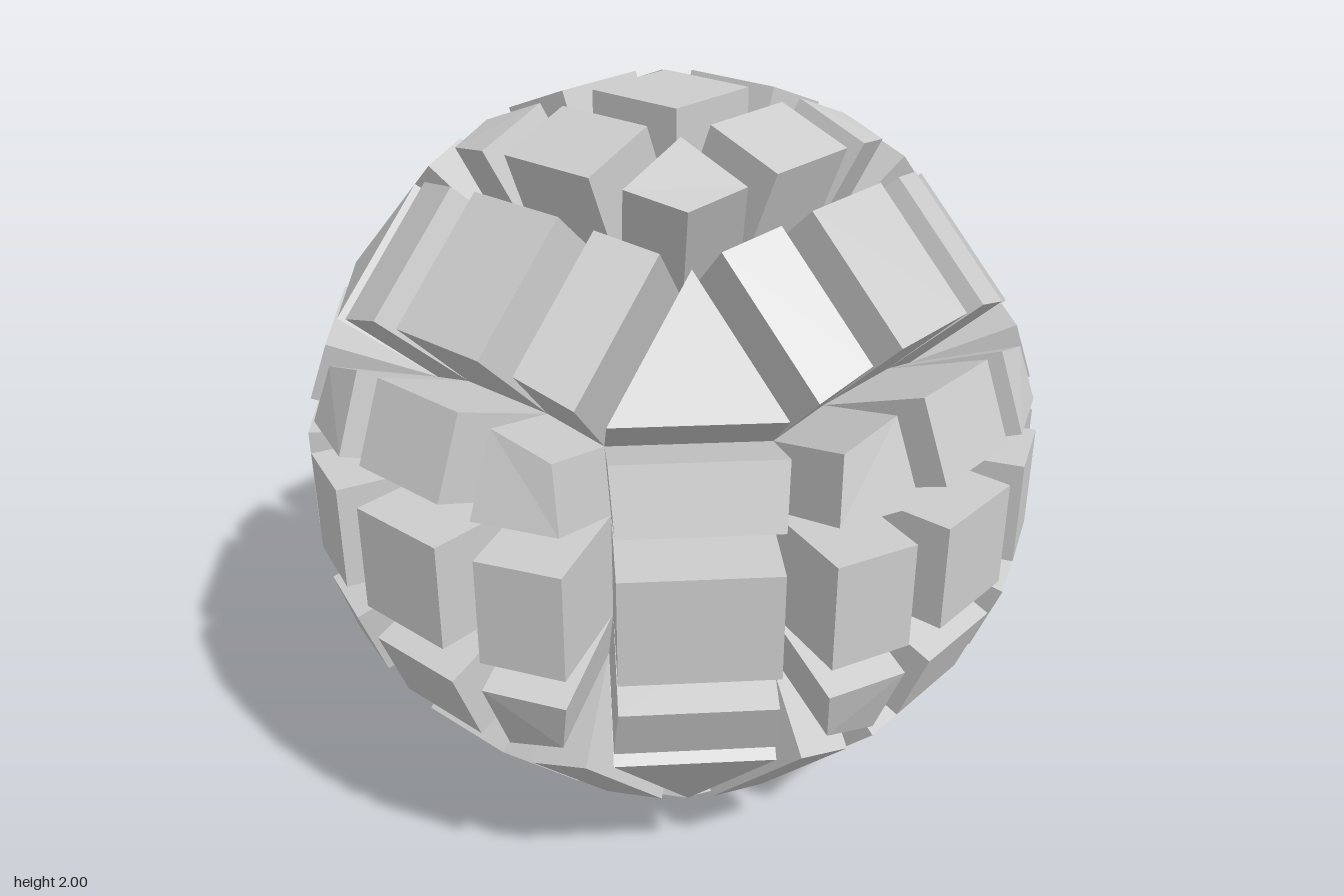
import * as THREE from 'three';

// Base grid values: corners of the cells on a ball of radius about 0.727
const a = 0.142, h = 0.7;            // centre square
const b = 0.348, e = 0.62;           // next ring
const r = 0.3, s = 0.588;            // ring around each three-way corner
const depth = 0.3;                   // how far every block stands out

// One sample cell of each kind; the rest follow by cube symmetry
const cells = {
  centreBlock: [[a, a, h], [-a, a, h], [-a, -a, h], [a, -a, h]],
  sideBlock: [[a, -a, h], [b, -a, e], [b, a, e], [a, a, h]],
  diagonalBlock: [[a, a, h], [b, a, e], [r, r, s], [a, b, e]],
  edgeMiddleBlock: [[b, -a, e], [e, -a, b], [e, a, b], [b, a, e]],
  edgeEndBlock: [[b, a, e], [e, a, b], [s, r, r], [r, r, s]],
  cornerBlock: [[r, r, s], [s, r, r], [r, s, r]],
};

// The 48 symmetries of a cube: axis orders and sign flips
function symmetries() {
  const orders = [[0, 1, 2], [1, 2, 0], [2, 0, 1], [0, 2, 1], [2, 1, 0], [1, 0, 2]];
  const list = [];
  for (const o of orders)
    for (const x of [1, -1]) for (const y of [1, -1]) for (const z of [1, -1])
      list.push((p) => new THREE.Vector3(x * p[o[0]], y * p[o[1]], z * p[o[2]]));
  return list;
}

const centreOf = (pts) =>
  pts.reduce((c, p) => c.add(p), new THREE.Vector3()).divideScalar(pts.length);

// Straight prism pushed out along the normal of its base polygon
function prism(base) {
  const n = base.length;
  const d1 = base[2].clone().sub(base[0]);
  const d2 = base[n === 4 ? 3 : 1].clone().sub(base[1 % n]);
  if (n === 3) d2.copy(base[2]).sub(base[1]);
  const normal = d1.cross(d2).normalize();
  let pts = base;
  if (normal.dot(centreOf(base)) < 0) {
    normal.negate();
    pts = [...base].reverse();
  }
  // keep the winding counter-clockwise about the outward normal
  const turn = pts[1].clone().sub(pts[0]).cross(pts[2].clone().sub(pts[1]));
  if (turn.dot(normal) < 0) pts = [...pts].reverse();

  const top = pts.map((p) => p.clone().addScaledVector(normal, depth));
  const out = [];
  const tri = (...v) => v.forEach((p) => out.push(p.x, p.y, p.z));
  for (let i = 1; i < n - 1; i++) tri(top[0], top[i], top[i + 1]);
  for (let i = 0; i < n; i++) {
    const j = (i + 1) % n;
    tri(pts[i], pts[j], top[j]);
    tri(pts[i], top[j], top[i]);
  }
  const geo = new THREE.BufferGeometry();
  geo.setAttribute('position', new THREE.Float32BufferAttribute(out, 3));
  geo.computeVertexNormals();
  return geo;
}

export function createModel() {
  const model = new THREE.Group();
  model.name = 'blockBall';
  const grey = new THREE.MeshStandardMaterial({ color: 0xcccccc });
  grey.name = 'lightGrey';

  for (const [name, polygon] of Object.entries(cells)) {
    const family = new THREE.Group();
    family.name = name + 's';
    const seen = new Set();
    for (const place of symmetries()) {
      const base = polygon.map(place);
      const key = centreOf(base).toArray().map((v) => Math.round(v * 1000) + 0).join();
      if (seen.has(key)) continue;
      seen.add(key);
      const block = new THREE.Mesh(prism(base), grey);
      block.name = name;
      family.add(block);
    }
    model.add(family);
  }
  model.position.y = 1;
  const root = new THREE.Group();
  root.name = 'model';
  root.add(model);
  return root;
}
